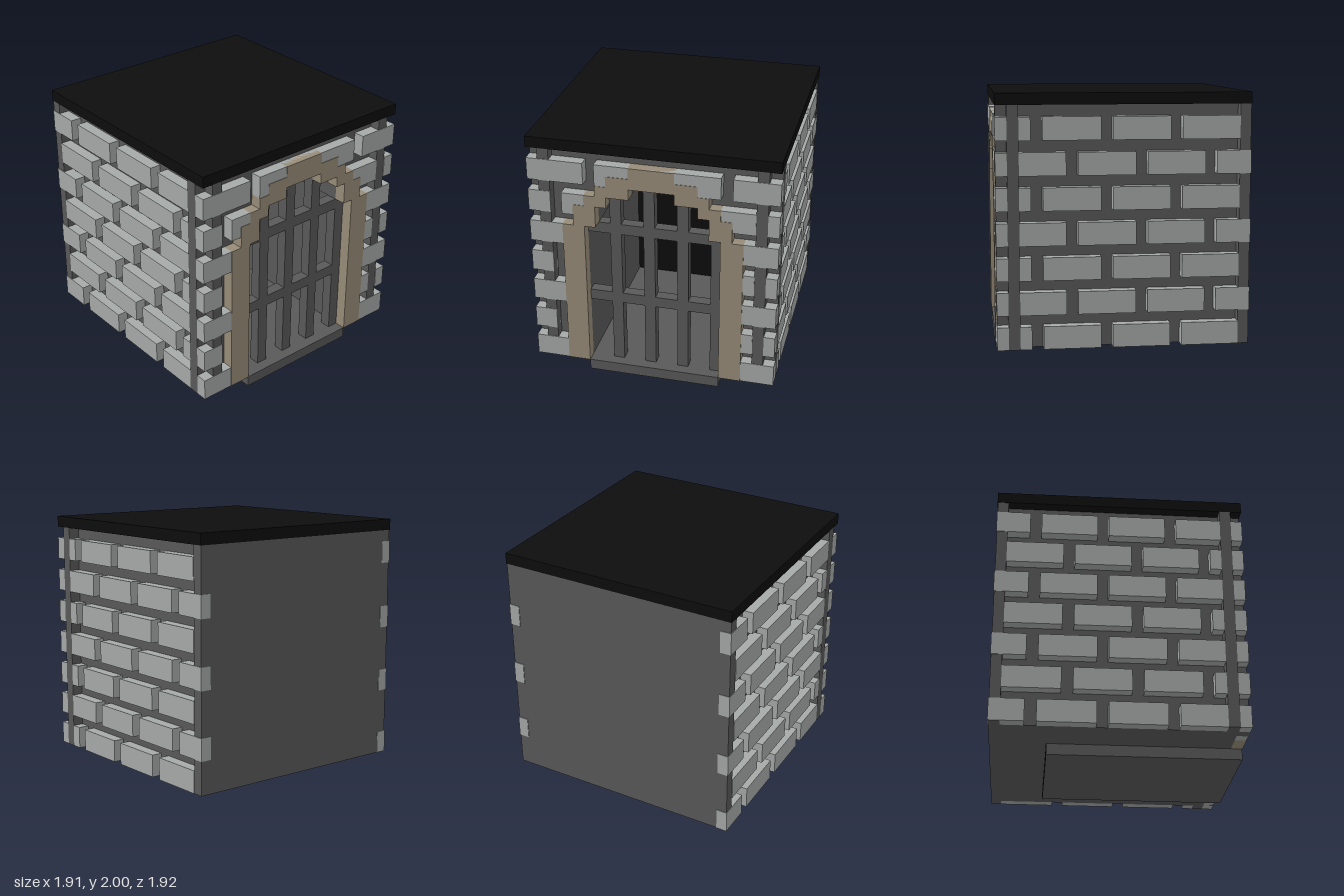
import * as THREE from 'three';

const U = 2 / 23;   // one block
const HALF = 11;    // half the footprint, in blocks

export function createModel() {
  const model = new THREE.Group();
  model.name = 'stoneGatehouse';

  const mat = (name, color) => {
    const m = new THREE.MeshStandardMaterial({ color });
    m.name = name;
    return m;
  };
  const brick = mat('pale stone', 0xa5a9a7);
  const mortar = mat('dark mortar', 0x595959);
  const trim = mat('tan arch stone', 0x978c78);
  const black = mat('black', 0x0d0d0d);

  // Box in block units: x from the model's right, y from the ground, z from the front to the back
  function box(name, material, [x0, x1], [y0, y1], [z0, z1], parent = model) {
    const mesh = new THREE.Mesh(
      new THREE.BoxGeometry((x1 - x0) * U, (y1 - y0) * U, (z1 - z0) * U), material);
    mesh.position.set(((x0 + x1) / 2 - HALF) * U, (y0 + y1) / 2 * U, (HALF - (z0 + z1) / 2) * U);
    mesh.name = name;
    parent.add(mesh);
    return mesh;
  }

  // Stepped arch edge, right foot to left foot, from [half width, top] steps
  function steps(list) {
    const right = [];
    let y = 1;
    for (const [w, top] of list) {
      right.push([w, y], [w, top]);
      y = top;
    }
    return [...right, ...right.map(([x, h]) => [-x, h]).reverse()];
  }
  const inner = steps([[6, 15], [5, 17], [4, 18], [2, 19]]);
  const outer = steps([[8, 15], [7, 17], [6, 18], [5, 19], [4, 20], [2, 21]]);
  const wall = [[10, 1], [10, 22], [-10, 22], [-10, 1]];

  // Slab with the doorway cut out of its lower edge
  function doorwaySlab(name, material, outline, z0, z1) {
    const pts = [...outline, ...[...inner].reverse()];
    const shape = new THREE.Shape(pts.map(([x, y]) => new THREE.Vector2(x * U, y * U)));
    const geo = new THREE.ExtrudeGeometry(shape, { depth: (z1 - z0) * U, bevelEnabled: false });
    const mesh = new THREE.Mesh(geo, material);
    mesh.position.z = (HALF - z1) * U;
    mesh.name = name;
    model.add(mesh);
  }

  // Main masses
  box('roof', black, [0, 22], [22, 23], [0, 22]);
  box('baseSlab', mortar, [5, 17], [0, 1], [0, 17]);
  box('baseSlabBackPlate', black, [5, 17], [0, 1], [17, 17.05]);
  doorwaySlab('hollowBody', mortar, wall, 1, 17);
  box('rearBody', mortar, [1, 21], [1, 22], [17, 21]);
  box('backWall', mortar, [0.05, 21.95], [1, 22], [21, 21.95]);
  box('doorwayBackPlate', black, [5, 17], [1, 19], [16.95, 17]);
  doorwaySlab('archTrim', trim, outer, -0.04, 1);

  // Corner posts
  for (const x of [0, 21]) box('sidePost', mortar, [x, x + 1], [1, 22], [1, 2]);
  for (const x of [1, 20]) box('frontPost', mortar, [x, x + 1], [1, 22], [0.05, 1]);

  // Gate bars
  const gate = new THREE.Group();
  gate.name = 'gate';
  model.add(gate);
  for (const [x, top] of [[7, 18], [10, 19], [13, 18], [16, 15]])
    box('uprightBar', mortar, [x, x + 1], [1, top], [1, 2], gate);
  for (const y of [7, 14]) box('crossBar', mortar, [5, 17], [y, y + 1], [1, 2], gate);

  // Brick courses
  const evenFront = [[0, 3], [19, 22]];
  const oddFront = [[0, 2], [19, 20], [21, 22]];
  const front = [evenFront, oddFront, evenFront, oddFront, evenFront,
    [[0, 2], [3, 5], [17, 20], [21, 22]],
    [[0, 5], [6, 16.99], [18, 22]]];
  const side = [
    [[2, 3], [4, 9], [10, 15], [16, 21]],
    [[2, 6], [7, 12], [13, 18], [19, 22]]];
  const bricks = new THREE.Group();
  bricks.name = 'bricks';
  model.add(bricks);
  for (let k = 0; k < 7; k++) {
    const y = [1 + 3 * k, 3 + 3 * k];
    for (const x of front[k]) box('frontBrick', brick, x, y, [0, 1], bricks);
    for (const z of side[k % 2]) box('leftBrick', brick, [21, 22], y, z, bricks);
    for (const z of side[(k + 1) % 2]) box('rightBrick', brick, [0, 1], y, z, bricks);
  }
  return model;
}
